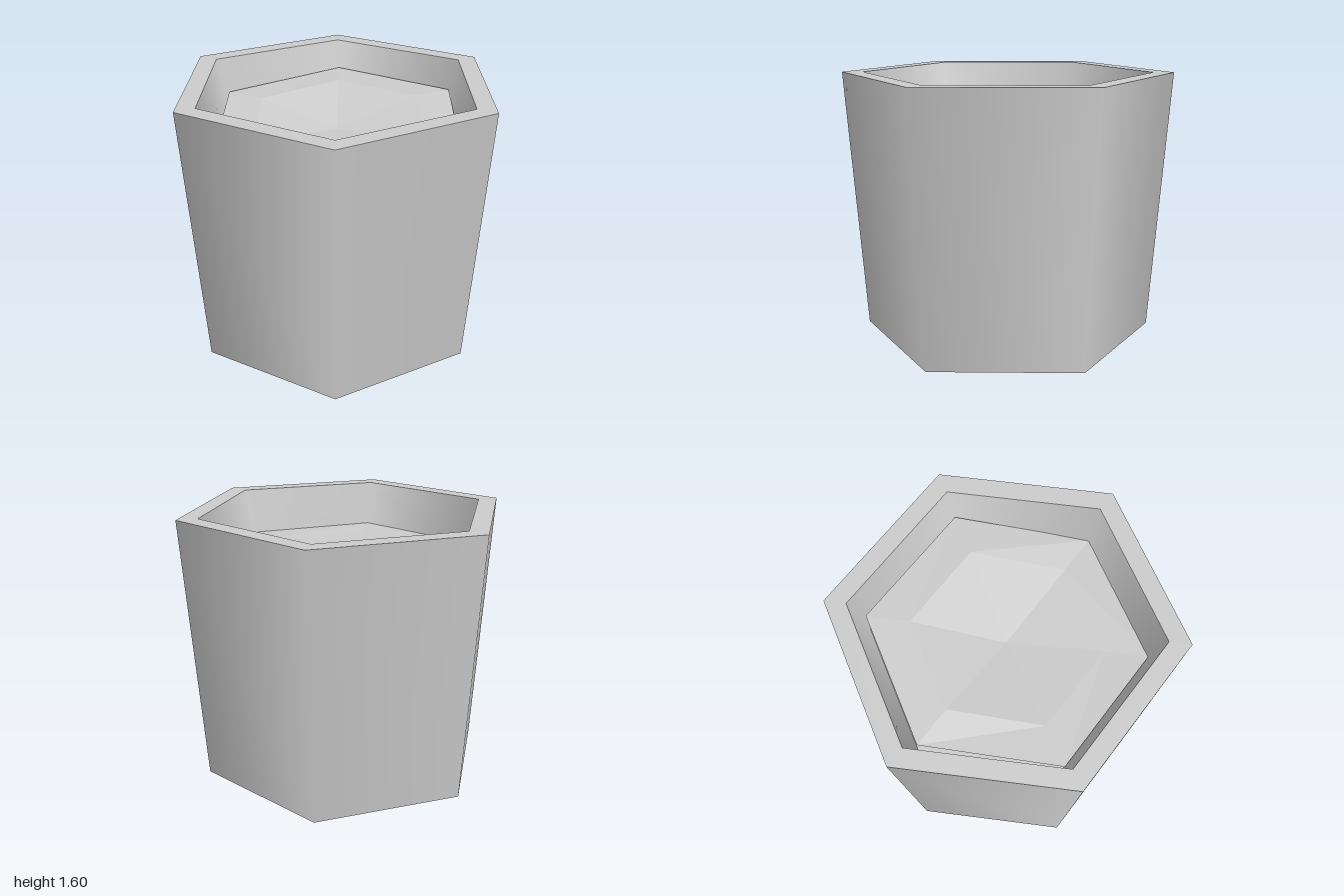
import * as THREE from 'three';

const SIDES = 6;

// Six-sided ring surface swept from a short profile of [radius, height] points
function hexSurface(name, profile) {
  const points = profile.map(([r, y]) => new THREE.Vector2(r, y));
  // starting at a quarter turn puts corners on the x axis
  const geometry = new THREE.LatheGeometry(points, SIDES, Math.PI / 2);
  const mesh = new THREE.Mesh(geometry, new THREE.MeshStandardMaterial({ color: 0xcccccc }));
  mesh.name = name;
  return mesh;
}

// Uneven faceted soil: an outer and an inner ring of corners around a sunken centre
function createSoil() {
  const rings = [
    { radius: 0.8, heights: [1.33, 1.336, 1.33, 1.40, 1.434, 1.42] },
    { radius: 0.55, heights: [1.335, 1.325, 1.33, 1.405, 1.43, 1.425] },
  ];
  const positions = [];
  for (const { radius, heights } of rings) {
    heights.forEach((y, k) => {
      const a = (k / SIDES) * Math.PI * 2;
      positions.push(0.012 + radius * Math.cos(a), y, radius * Math.sin(a));
    });
  }
  positions.push(0, 1.31, 0);
  const centre = SIDES * 2;

  const index = [];
  for (let k = 0; k < SIDES; k++) {
    const n = (k + 1) % SIDES;
    index.push(k, SIDES + k, n, n, SIDES + k, SIDES + n); // outer slope
    index.push(centre, SIDES + n, SIDES + k); // inner hollow
  }

  const indexed = new THREE.BufferGeometry();
  indexed.setAttribute('position', new THREE.Float32BufferAttribute(positions, 3));
  indexed.setIndex(index);
  const geometry = indexed.toNonIndexed();
  geometry.computeVertexNormals();
  const mesh = new THREE.Mesh(
    geometry,
    new THREE.MeshStandardMaterial({ color: 0xcccccc, flatShading: true, side: THREE.DoubleSide })
  );
  mesh.name = 'soil';
  return mesh;
}

export function createModel() {
  const model = new THREE.Group();
  model.name = 'planter';

  // Pot: each surface is separate so the rim and base edges stay sharp
  const pot = new THREE.Group();
  pot.name = 'pot';
  pot.add(
    hexSurface('base', [[0, 0], [0.89, 0]]),
    hexSurface('outerWall', [[0.89, 0], [1, 1.6]]),
    hexSurface('rim', [[1, 1.6], [0.875, 1.6]]),
    hexSurface('innerWall', [[0.875, 1.6], [0.79, 1.28]]),
    hexSurface('innerFloor', [[0.79, 1.28], [0, 1.28]])
  );

  model.add(pot, createSoil());
  return model;
}
